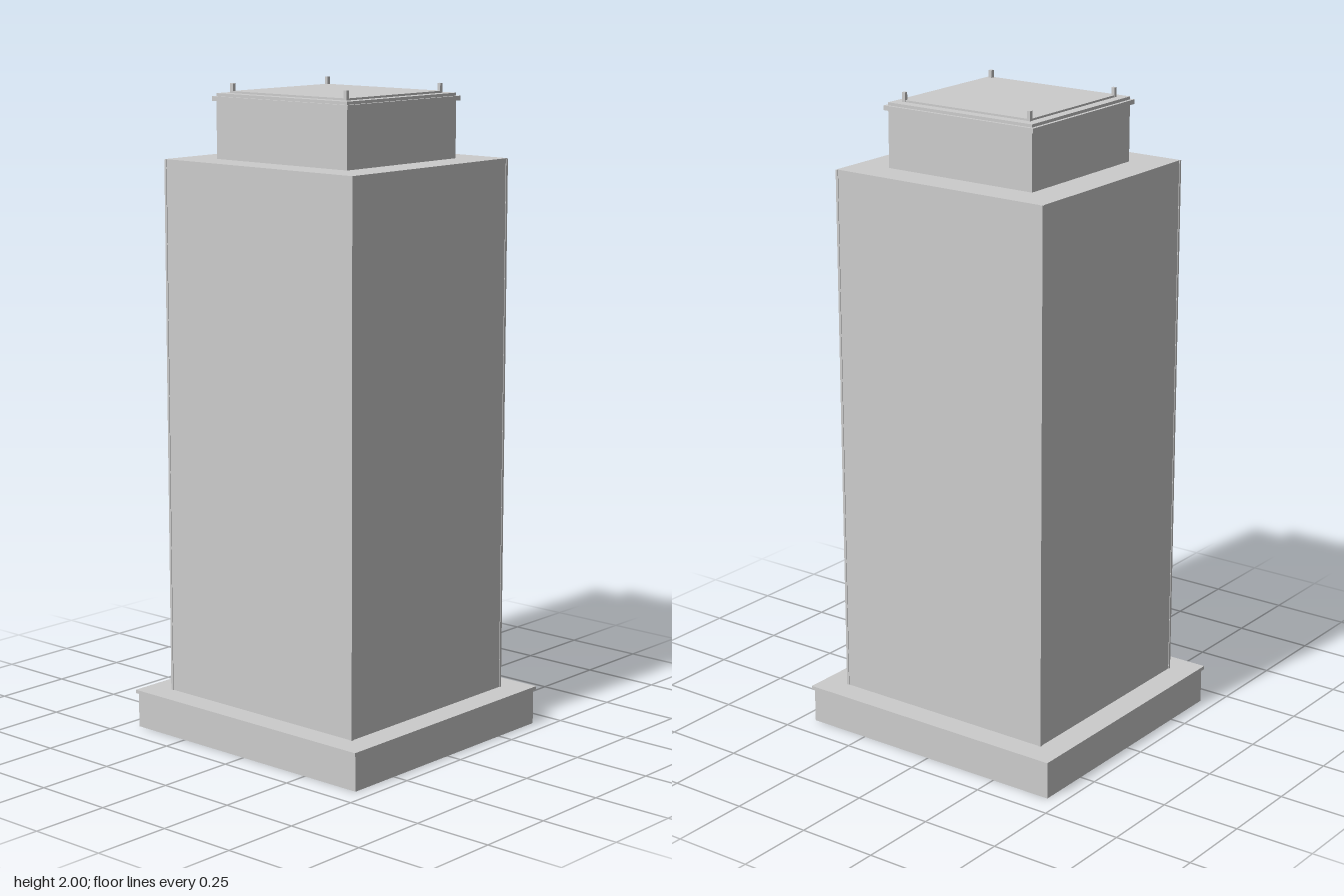
import * as THREE from 'three';

export function createModel() {
  const model = new THREE.Group();
  model.name = 'tower';
  const concrete = new THREE.MeshStandardMaterial({ color: 0xcccccc, side: THREE.DoubleSide });
  concrete.name = 'concrete grey';

  // Box given by half width, half depth and its bottom and top heights
  function block(name, hx, hz, y0, y1, x = 0, z = 0) {
    const mesh = new THREE.Mesh(new THREE.BoxGeometry(hx * 2, y1 - y0, hz * 2), concrete);
    mesh.position.set(x, (y0 + y1) / 2, z);
    mesh.name = name;
    model.add(mesh);
  }

  // Hollow base: four thin walls, open underneath
  const t = 0.002;
  for (const s of [-1, 1]) {
    block('baseSideWall', t / 2, 0.45, 0, 0.112, s * (0.422 - t / 2), 0);
    block('baseEndWall', 0.422, t / 2, 0, 0.112, 0, s * (0.45 - t / 2));
  }
  block('baseCornice', 0.43, 0.455, 0.109, 0.12);

  // Main shaft and upper storey
  block('shaft', 0.352, 0.373, 0.12, 1.775);
  block('upperStorey', 0.246, 0.26, 1.775, 1.948);
  block('roofCornice', 0.255, 0.27, 1.948, 1.962);
  block('roofSlab', 0.246, 0.26, 1.962, 1.971);
  block('landingPad', 0.215, 0.23, 1.971, 1.977);

  // Corner strips on the shaft and corner posts on the roof
  for (const sx of [-1, 1]) {
    for (const sz of [-1, 1]) {
      block('cornerStrip', 0.004, 0.004, 0.12, 1.774, sx * 0.35, sz * 0.371);
      block('roofPost', 0.0055, 0.0055, 1.971, 2, sx * 0.211, sz * 0.226);
    }
  }
  return model;
}
